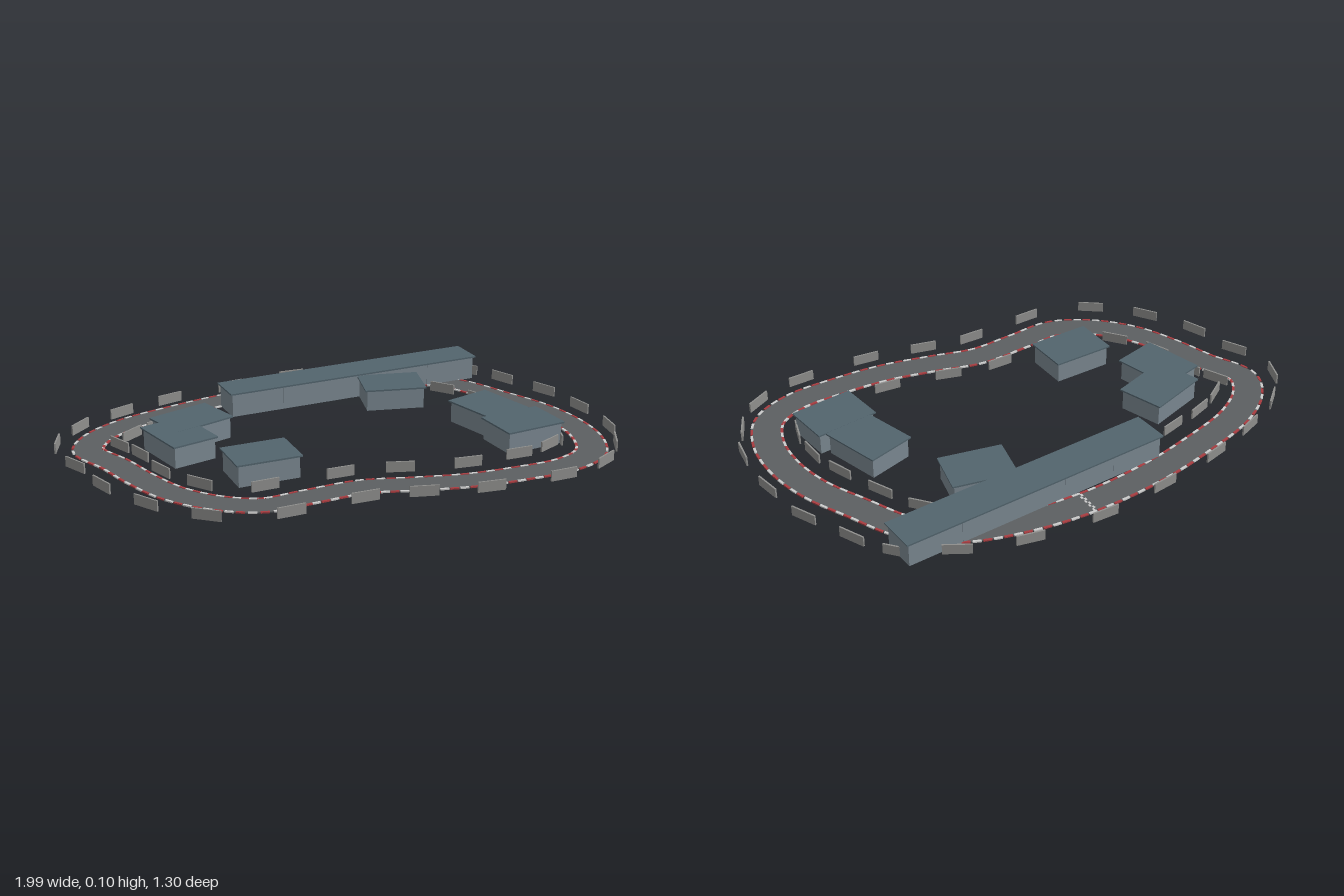
import * as THREE from 'three';

const paint = (color) => new THREE.MeshStandardMaterial({ color, flatShading: true });

export function createModel() {
  const model = new THREE.Group();
  const asphalt = paint(0x5c5f61), red = paint(0xa83c40), white = paint(0xd8d8d8);
  const wall = paint(0x7a8790), roofing = paint(0x52646d), concrete = paint(0x8e8e8c);

  // Centreline of the circuit as [x, z], clockwise from above
  const line = new THREE.CatmullRomCurve3([
    [-.88, -.07], [-.84, -.18], [-.72, -.29], [-.51, -.39], [-.29, -.47], [-.02, -.53],
    [.24, -.54], [.46, -.50], [.60, -.41], [.72, -.24], [.82, -.08], [.875, .08],
    [.885, .24], [.84, .375], [.72, .455], [.54, .49], [.35, .505], [.16, .49],
    [-.02, .47], [-.21, .505], [-.37, .535], [-.51, .485], [-.64, .375], [-.73, .23], [-.80, .08],
  ].map(([x, z]) => new THREE.Vector3(x, 0, z)), true);
  line.arcLengthDivisions = 600;

  // Point, heading and sideways offset at a fraction of the lap
  const at = (u, offset = 0) => {
    const p = line.getPointAt(u), t = line.getTangentAt(u);
    return { x: p.x + t.z * offset, z: p.z - t.x * offset, ry: Math.atan2(-t.z, t.x) };
  };

  const addBox = (parent, name, [w, h, d], material, x, y, z, ry = 0) => {
    const mesh = new THREE.Mesh(new THREE.BoxGeometry(w, h, d), material);
    mesh.name = name;
    mesh.position.set(x, y + h / 2, z);
    mesh.rotation.y = ry;
    parent.add(mesh);
    return mesh;
  };

  // Track slab: outer outline with the infield cut out
  const half = 0.053;
  const outline = (offset) => Array.from({ length: 200 }, (_, i) => {
    const p = at(i / 200, offset);
    return new THREE.Vector2(p.x, -p.z);
  });
  const shape = new THREE.Shape(outline(half));
  shape.holes.push(new THREE.Path(outline(-half)));
  const trackGeometry = new THREE.ExtrudeGeometry(shape, { depth: 0.004, bevelEnabled: false });
  trackGeometry.rotateX(-Math.PI / 2);
  const track = new THREE.Mesh(trackGeometry, asphalt);
  track.name = 'track';
  model.add(track);

  // Striped kerbs along both edges
  const kerbs = new THREE.Group();
  kerbs.name = 'kerbs';
  model.add(kerbs);
  const kerbCount = 140;
  for (let i = 0; i < kerbCount; i++) {
    for (const side of [-1, 1]) {
      const p = at(i / kerbCount, side * (half + 0.001));
      addBox(kerbs, 'kerb', [0.03, 0.005, 0.009], i % 2 ? red : white, p.x, 0.001, p.z, p.ry);
    }
  }

  // Lap fraction closest to a spot on the ground
  const samples = line.getSpacedPoints(400);
  const nearest = (x, z) => {
    let best = 0, bestDistance = Infinity;
    samples.forEach((p, i) => {
      const distance = Math.hypot(p.x - x, p.z - z);
      if (distance < bestDistance) { bestDistance = distance; best = i; }
    });
    return (best % 400) / 400;
  };

  // Chequered start line
  const startLine = new THREE.Group();
  startLine.name = 'startLine';
  model.add(startLine);
  const startU = nearest(0, -.53);
  for (let i = 0; i < 8; i++) {
    const p = at(startU + (i % 2) * 0.0016, (i - 3.5) * 0.0125);
    addBox(startLine, 'startSquare', [0.008, 0.002, 0.012], white, p.x, 0.003, p.z, p.ry);
  }

  // Barrier panels outside and inside the circuit, turned along the track
  const outer = [
    [.26, -.645], [-.02, -.63], [-.28, -.565], [-.53, -.48], [-.725, -.385], [-.89, -.27], [-.985, -.12],
    [-.94, .09], [-.87, .28], [-.745, .46], [-.57, .60], [-.30, .637], [-.04, .585], [.16, .59],
    [.39, .605], [.66, .57], [.85, .485], [.95, .34], [.99, .19], [.965, -.03], [.90, -.23],
    [.79, -.40], [.68, -.53], [.50, -.60],
  ];
  const inner = [
    [-.07, .37], [-.34, .414], [-.55, .345], [-.66, .20], [-.71, .04], [-.77, -.06], [-.715, -.15],
    [-.61, -.22], [-.47, -.275], [-.24, -.36], [.00, -.415], [.22, -.43], [.40, -.40], [.52, -.34],
    [.62, -.20], [.71, -.04], [.765, .10], [.775, .24], [.715, .30], [.58, .355], [.38, .39], [.14, .375],
  ];
  const barriers = new THREE.Group();
  barriers.name = 'barriers';
  model.add(barriers);
  for (const [x, z] of [...outer, ...inner]) {
    addBox(barriers, 'barrier', [0.1, 0.038, 0.006], concrete, x, 0.003, z, at(nearest(x, z)).ry);
  }

  // Flat-roofed building made of one or more equal bays
  const addBuilding = (name, x, z, ry, width, depth, height, bays = 1) => {
    const building = new THREE.Group();
    building.name = name;
    building.position.set(x, 0, z);
    building.rotation.y = ry;
    const overhang = 0.008, bay = (width - 2 * overhang) / bays;
    for (let i = 0; i < bays; i++) {
      addBox(building, 'walls', [bay - (bays > 1 ? 0.001 : 0), height, depth - 2 * overhang], wall,
        (i - (bays - 1) / 2) * bay, 0.002, 0);
    }
    addBox(building, 'roof', [width, 0.006, depth], roofing, 0, height + 0.002, 0);
    model.add(building);
  };
  addBuilding('pitBuilding', .171, -.436, .19, 1.045, .142, .088, 5);
  addBuilding('backPavilion', .298, -.289, -.07, .235, .175, .078);
  addBuilding('leftRearPavilion', .578, .03, -1.15, .235, .185, .0775);
  addBuilding('leftFrontPavilion', .644, .211, .25, .238, .178, .078);
  addBuilding('rightRearPavilion', -.505, -.10, .45, .242, .178, .078);
  addBuilding('rightSidePavilion', -.57, .03, -1.19, .235, .178, .0775);
  addBuilding('frontPavilion', -.326, .278, .16, .238, .175, .078);

  return model;
}
